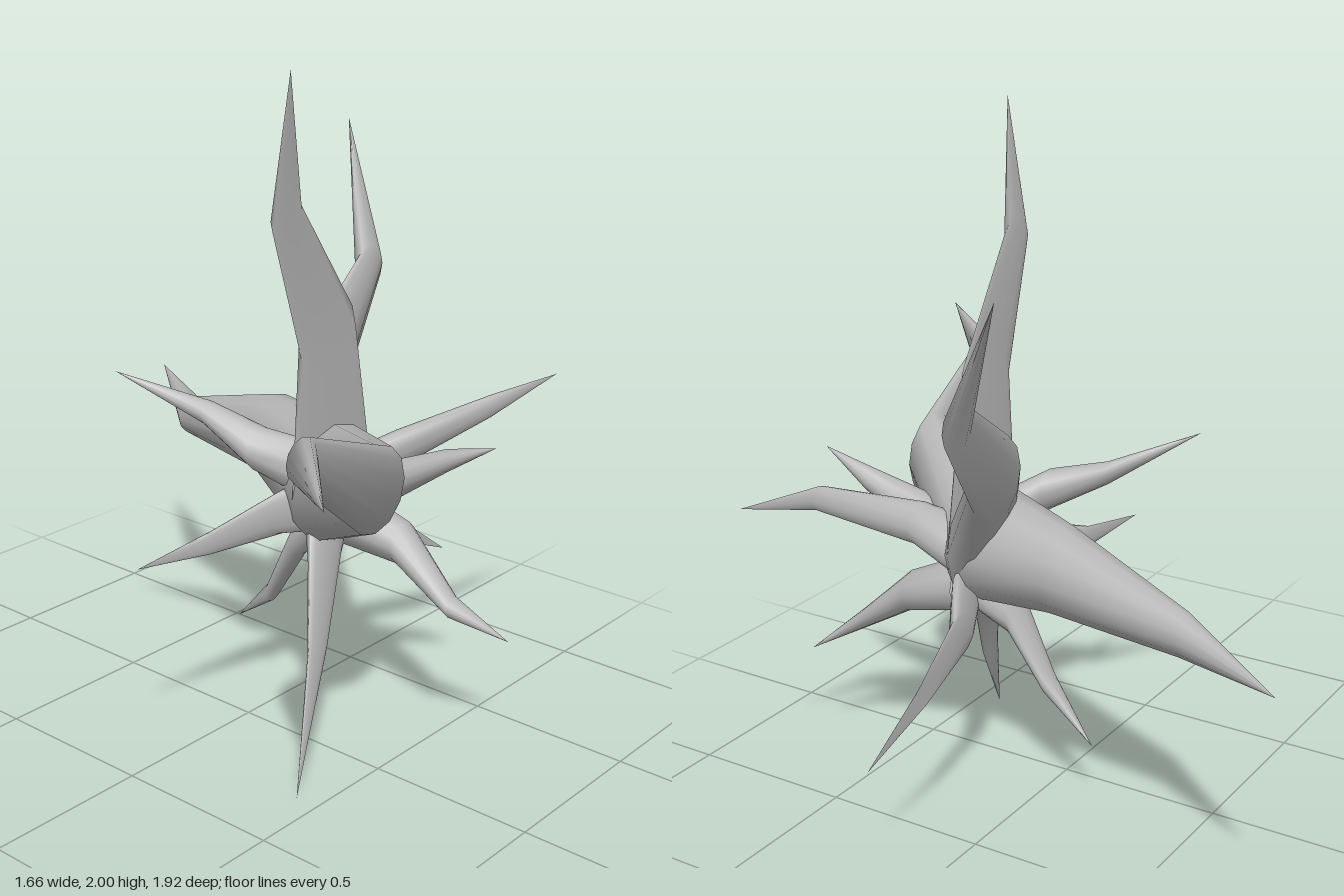
import * as THREE from 'three';

const SIDES = 12;

// Hollow tapering leaf: upright rings (in the xy plane) along a bent path, ending in a point.
// Each ring is [x, y, z, radius].
function leafGeometry(rings) {
  const positions = [];
  const index = [];
  for (const [x, y, z, r] of rings) {
    for (let i = 0; i < SIDES; i++) {
      const a = (i / SIDES) * Math.PI * 2;
      positions.push(x + Math.cos(a) * r, y + Math.sin(a) * r, z);
    }
  }
  // Wind the faces outward whichever way the leaf runs in z
  const forward = rings[rings.length - 1][2] > rings[0][2];
  for (let k = 0; k < rings.length - 1; k++) {
    for (let i = 0; i < SIDES; i++) {
      const j = (i + 1) % SIDES;
      const a = k * SIDES + i, b = k * SIDES + j;
      const c = a + SIDES, d = b + SIDES;
      const faces = k === rings.length - 2 ? [[a, b, c]] : [[a, b, d], [a, d, c]];
      for (const [p, q, s] of faces) index.push(p, ...(forward ? [q, s] : [s, q]));
    }
  }
  const geometry = new THREE.BufferGeometry();
  geometry.setAttribute('position', new THREE.Float32BufferAttribute(positions, 3));
  geometry.setIndex(index);
  geometry.computeVertexNormals();
  return geometry;
}

// Large leaves share one root ring: middle ring, bend ring, tip
const ROOT = [0.13, 0.77, 0.21, 0.18];
const LARGE = {
  topLeaf: [[0.08, 1.23, 0.225, 0.125], [-0.13, 1.6, 0.25, 0.064], [-0.2, 2.0, 0.32, 0]],
  upperLeftLeaf: [[0.37, 1.06, 0, 0.125], [0.61, 1.28, -0.045, 0.068], [0.83, 1.69, -0.31, 0]],
  frontRightLeaf: [[-0.1, 0.9, 0.545, 0.125], [-0.5, 1.115, 0.62, 0.06], [-0.83, 1.17, 0.96, 0]],
  backLeaf: [[0.28, 0.8, -0.15, 0.125], [0.37, 0.74, -0.58, 0.06], [0.63, 0.77, -0.96, 0]],
};

// Small leaves: root ring, middle ring, bend ring, tip
const SMALL = {
  frontLeftLeaf: [[0.22, 0.77, 0.22, 0.085], [0.3, 0.85, 0.31, 0.062], [0.53, 0.965, 0.48, 0.035], [0.8, 1.01, 0.53, 0]],
  lowerRightLeaf: [[0.13, 0.68, 0.2, 0.11], [0.04, 0.59, 0.26, 0.078], [-0.05, 0.335, 0.31, 0.045], [-0.28, 0.0, 0.43, 0]],
  lowerLeftLeaf: [[0.25, 0.67, 0.18, 0.085], [0.36, 0.57, 0.13, 0.065], [0.57, 0.46, 0.12, 0.035], [0.8, 0.33, 0.14, 0]],
  sideRightLeaf: [[0.13, 0.71, 0.2, 0.09], [-0.02, 0.71, 0.15, 0.068], [-0.25, 0.665, 0.08, 0.035], [-0.51, 0.66, 0.05, 0]],
  lowerBackLeaf: [[0.18, 0.66, 0.18, 0.085], [0.15, 0.56, 0.08, 0.06], [0.135, 0.36, -0.02, 0.036], [0.17, 0.21, -0.19, 0]],
  lowerFrontLeaf: [[0.2, 0.65, 0.22, 0.085], [0.235, 0.6, 0.39, 0.063], [0.22, 0.46, 0.58, 0.033], [0.31, 0.36, 0.72, 0]],
  upperFrontLeaf: [[0.17, 0.76, 0.22, 0.085], [0.16, 0.82, 0.41, 0.062], [0.2, 0.905, 0.56, 0.035], [0.2, 0.98, 0.72, 0]],
  upperBackLeaf: [[0.1, 0.8, 0.2, 0.085], [-0.04, 0.89, 0.08, 0.063], [-0.065, 0.965, -0.1, 0.035], [-0.22, 1.08, -0.32, 0]],
};

export function createModel() {
  const leafGrey = new THREE.MeshStandardMaterial({ color: 0xb8b8b8, side: THREE.DoubleSide });
  leafGrey.name = 'leafGrey';

  const plant = new THREE.Group();
  plant.name = 'spikyPlant';
  const addLeaf = (name, rings) => {
    const leaf = new THREE.Mesh(leafGeometry(rings), leafGrey);
    leaf.name = name;
    plant.add(leaf);
  };
  for (const [name, rings] of Object.entries(LARGE)) addLeaf(name, [ROOT, ...rings]);
  for (const [name, rings] of Object.entries(SMALL)) addLeaf(name, rings);
  return plant;
}
